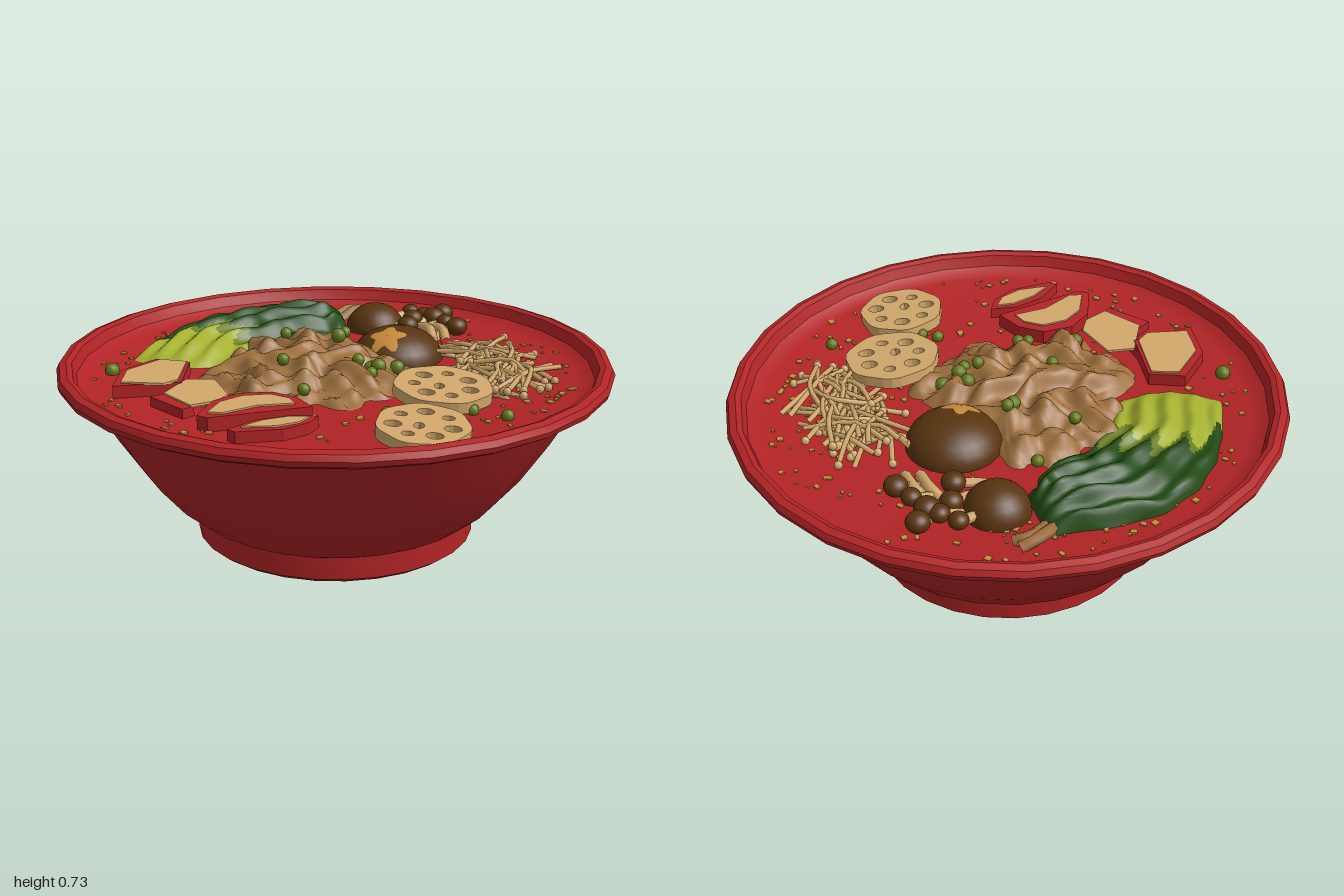
import * as THREE from 'three';
import { mergeGeometries, toCreasedNormals } from 'three/addons/utils/BufferGeometryUtils.js';

const SOUP = 0.6;
const mat = (name, color) => Object.assign(new THREE.MeshStandardMaterial({ color }), { name });

export function createModel() {
  const red = mat('lacquer red', 0xb22426), footBrown = mat('foot brown', 0x5a3026);
  const capBrown = mat('mushroom brown', 0x58340f), tan = mat('pale tan', 0xd2a86c);
  const meatBrown = mat('meat brown', 0xa0713f), orange = mat('oil orange', 0xc88a3c);
  const darkGreen = mat('leaf green', 0x224a14), lightGreen = mat('stem green', 0xa3b030);
  const olive = mat('olive green', 0x64791a);

  const model = new THREE.Group();
  model.name = 'noodleBowl';
  let seed = 7;
  const rand = (a = 0, b = 1) => {
    seed = (seed * 16807) % 2147483647;
    return a + (b - a) * (seed / 2147483647);
  };
  const add = (name, geo, material, parent = model) => {
    const m = new THREE.Mesh(geo, material);
    m.name = name;
    parent.add(m);
    return m;
  };
  const group = (name) => {
    const g = new THREE.Group();
    g.name = name;
    model.add(g);
    return g;
  };
  const lathe = (pts) => toCreasedNormals(
    new THREE.LatheGeometry(pts.map(([r, y]) => new THREE.Vector2(r, y)), 28), 0.5);

  // Surface from a rule, with one face group per material
  const sheet = (nu, nv, fn, pick = () => 0) => {
    const pos = [], buckets = [[], [], []];
    for (let i = 0; i <= nu; i++) for (let j = 0; j <= nv; j++) pos.push(...fn(i / nu, j / nv));
    for (let i = 0; i < nu; i++) for (let j = 0; j < nv; j++) {
      const a = i * (nv + 1) + j, b = a + nv + 1;
      buckets[pick((i + 0.5) / nu, (j + 0.5) / nv)].push(a, b, a + 1, b, b + 1, a + 1);
    }
    const geo = new THREE.BufferGeometry();
    geo.setAttribute('position', new THREE.Float32BufferAttribute(pos, 3));
    geo.setIndex(buckets.flat());
    let start = 0;
    buckets.forEach((b, k) => { geo.addGroup(start, b.length, k); start += b.length; });
    geo.computeVertexNormals();
    return geo;
  };

  // Flat slab cut from an outline given as [x, z]
  const slab = (pts, y, depth, holes = []) => {
    const shape = new THREE.Shape(pts.map(([x, z]) => new THREE.Vector2(x, -z)));
    for (const [x, z, rx, rz] of holes) {
      shape.holes.push(new THREE.Path().absellipse(x, -z, rx, rz, 0, Math.PI * 2));
    }
    const geo = new THREE.ExtrudeGeometry(shape, { depth, bevelEnabled: false, curveSegments: 6 });
    return geo.rotateX(-Math.PI / 2).translate(0, y, 0);
  };

  // Bowl, rim and broth surface
  add('bowl', lathe([[0.485, 0], [0.51, 0.018], [0.51, 0.1], [0.53, 0.11], [0.61, 0.175], [0.7, 0.28],
    [0.8, 0.43], [0.905, 0.61], [0.97, 0.61], [0.993, 0.623], [1, 0.643], [0.99, 0.664], [0.965, 0.672],
    [0.945, 0.664], [0.93, 0.625], [0.9, 0.607], [0.87, SOUP], [0, SOUP]]), red);
  add('footUnderside', lathe([[0, 0.03], [0.38, 0.03], [0.4, 0.012], [0.43, 0], [0.487, 0]]), footBrown);

  // Shredded meat: a crumpled heap that dips below the broth
  const MX = -0.08, MZ = 0.03;
  const meatEdge = (a) => 0.42 + 0.035 * Math.sin(3 * a + 0.6) + 0.03 * Math.sin(7 * a) + 0.02 * Math.sin(13 * a);
  const meatY = (x, z) => {
    const t = Math.hypot(x - MX, z - MZ) / meatEdge(Math.atan2(z - MZ, x - MX));
    if (t >= 1) return 0.57;
    const n = Math.sin(21 * x + 2.6 * Math.sin(13 * z)) * Math.sin(19 * z + 2.4 * Math.sin(15 * x + 1));
    const fine = Math.sin(47 * x + 3 * Math.sin(23 * z)) * Math.sin(43 * z + 2);
    const top = 0.625 + 0.055 * (1 - t * t) + 0.036 * n + 0.016 * fine;
    return Math.min(0.735, THREE.MathUtils.lerp(top, 0.57, Math.pow(t, 8)));
  };
  add('meat', sheet(110, 34, (u, v) => {
    const a = u * Math.PI * 2, r = v * meatEdge(a);
    const x = MX + r * Math.cos(a), z = MZ + r * Math.sin(a);
    return [x, meatY(x, z), z];
  }), meatBrown);

  // Leafy greens: ribbed sheet between two edge curves
  const curve = (pts) => new THREE.CatmullRomCurve3(pts.map(([x, z]) => new THREE.Vector3(x, 0, z)));
  const inner = curve([[-0.4, -0.01], [-0.34, -0.2], [-0.24, -0.33], [-0.1, -0.42], [-0.03, -0.56]]);
  const outer = curve([[-0.78, -0.03], [-0.72, -0.3], [-0.62, -0.53], [-0.4, -0.7], [-0.08, -0.76]]);
  add('leafyGreens', sheet(48, 44, (u, v) => {
    const ends = Math.min(1, u * 9, (1 - u) * 9);
    const wob = 0.035 * Math.sin(u * 40) * u * (v - 0.5);
    const p = inner.getPoint(u).lerp(outer.getPoint(u), v + wob);
    const dome = Math.pow(Math.sin(Math.PI * v), 0.5) * (0.06 + 0.04 * u) * Math.sqrt(ends);
    const ribs = (0.011 + 0.006 * u) * Math.sin(v * 27 + 3 * u + 0.9 * Math.sin(u * 17)) * ends;
    const puckers = 0.009 * u * Math.sin(u * 34 + v * 9) * ends;
    const bulge = 0.05 * Math.sin(Math.PI * v) * Math.max(0, 1 - u * 7);
    return [p.x, 0.59 + dome + ribs + puckers, p.z + bulge];
  }, (u, v) => {
    const edge = 0.2 + 0.15 * Math.sin(Math.PI * v) + 0.06 * Math.sin(v * 25);
    return u < edge ? 0 : u < edge + 0.17 * (1 - v) ? 1 : 2;
  }), [lightGreen, olive, darkGreen]);

  // Large mushrooms, one with a star cut into its cap
  const mushrooms = group('mushrooms');
  const cap = (name, x, z, r, h, y) => {
    const m = add(name, new THREE.SphereGeometry(r, 24, 14), capBrown, mushrooms);
    m.scale.y = h / r;
    m.position.set(x, y, z);
  };
  cap('largeCap', 0.2, -0.24, 0.17, 0.115, SOUP);
  cap('mediumCap', 0.07, -0.61, 0.115, 0.1, SOUP);
  const star = new THREE.RingGeometry(0.001, 0.075, 30, 5).rotateX(-Math.PI / 2);
  const sp = star.attributes.position;
  for (let i = 0; i < sp.count; i++) {
    const k = 0.8 + 0.2 * Math.cos(5 * Math.atan2(sp.getZ(i), sp.getX(i)) + 1);
    const dx = sp.getX(i) * k - 0.03, dz = sp.getZ(i) * k + 0.08;
    const q = Math.max(0, 1 - (dx * dx + dz * dz) / 0.0289);
    sp.setXYZ(i, 0.2 + dx, SOUP + 0.115 * Math.sqrt(q) + 0.004, -0.24 + dz);
  }
  star.computeVertexNormals();
  add('starCut', star, orange, mushrooms);

  // Cluster of small mushrooms with pale stems
  const tube = (pts, r, n = 6) => new THREE.TubeGeometry(
    new THREE.CatmullRomCurve3(pts.map((p) => new THREE.Vector3(...p))), n, r, 6);
  [[0.2, -0.71, 0.035], [0.33, -0.71, 0.042], [0.3, -0.64, 0.045], [0.22, -0.61, 0.04], [0.21, -0.51, 0.042],
    [0.4, -0.52, 0.042], [0.35, -0.58, 0.035], [0.26, -0.67, 0.036]].forEach(([x, z, r], i) => {
    cap('smallCap', x, z, r, r * 0.85, 0.645);
    const ex = x + (i % 2 ? -0.09 : -0.11), ez = z + (i < 4 ? 0.1 : 0.05);
    add('smallStem', tube([[x, 0.635, z], [(x + ex) / 2, 0.63, (z + ez) / 2 - 0.01], [ex, 0.595, ez]], 0.019), tan, mushrooms);
  });
  for (const x of [0.29, 0.34]) add('smallStem', tube([[x - 0.04, 0.62, -0.57], [x, 0.635, -0.52], [x + 0.03, 0.61, -0.42]], 0.02), tan, mushrooms);
  for (const d of [0, 0.035]) add('paleShoot', tube([[-0.12 + d, 0.6, -0.7], [-0.06 + d, 0.625, -0.78], [0.01 + d / 2, 0.605, -0.81 + d]], 0.022), meatBrown);

  // Tangle of thin mushrooms
  const strands = [];
  for (let i = 0; i < 58; i++) {
    const t = rand(), cx = 0.48 + 0.17 * t + rand(-0.09, 0.09), cz = -0.26 + 0.36 * t;
    const a = 1.15 + rand(-1.1, 1.1), h = rand(0.09, 0.18), y = rand(0.612, 0.66);
    const dx = Math.cos(a) * h, dz = Math.sin(a) * h, b = rand(-0.04, 0.04);
    const p0 = [Math.max(0.35, cx - dx), y - 0.01, cz - dz], p2 = [Math.min(0.79, cx + dx), y - 0.015, cz + dz];
    strands.push(tube([p0, [cx + b, y + 0.01, cz - b], p2], 0.0095, 7));
    strands.push(new THREE.SphereGeometry(0.016, 7, 5).translate(...(i % 2 ? p0 : p2)));
  }
  add('thinMushrooms', mergeGeometries(strands), tan);

  // Lotus root slices: a ring of holes round a centre pair
  const lotus = group('lotusSlices');
  [[0.41, 0.24, 0.17, 0.17, 0.645, 0.3], [0.375, 0.59, 0.155, 0.165, 0.625, 1.1]].forEach(([cx, cz, rx, rz, y, turn]) => {
    const outline = [], holes = [[-0.012, 0.02, 0.018, 0.024]];
    for (let i = 0; i < 32; i++) {
      const a = (i / 32) * Math.PI * 2, k = 1 + 0.025 * Math.sin(7 * a + turn);
      outline.push([rx * k * Math.cos(a), rz * k * Math.sin(a)]);
    }
    for (let i = 0; i < 7; i++) {
      const a = turn + (i / 7) * Math.PI * 2, s = i % 2 ? 0.022 : 0.03;
      holes.push([0.1 * Math.cos(a), 0.1 * Math.sin(a), s, s * 0.85]);
    }
    const m = add('lotusSlice', slab(outline, -0.025, 0.04, holes), tan, lotus);
    m.position.set(cx, y, cz);
    m.rotation.set(0.06, 0, -0.06);
  });

  // Sliced pieces with a red rind and pale face
  const slices = group('rindSlices');
  [[[[-0.65, 0.06], [-0.52, 0.08], [-0.495, 0.31], [-0.72, 0.39], [-0.74, 0.21]],
    [[-0.63, 0.08], [-0.53, 0.09], [-0.51, 0.3], [-0.55, 0.35], [-0.7, 0.355], [-0.715, 0.22]], 0.05],
  [[[-0.5, 0.25], [-0.52, 0.4], [-0.57, 0.45], [-0.43, 0.56], [-0.4, 0.52]],
    [[-0.49, 0.26], [-0.39, 0.25], [-0.31, 0.4], [-0.33, 0.47], [-0.41, 0.53], [-0.53, 0.42]], 0.04],
  [[[-0.36, 0.65], [-0.34, 0.5], [-0.27, 0.41], [-0.16, 0.38], [-0.07, 0.42], [0.0, 0.51], [-0.12, 0.57], [-0.32, 0.67]],
    [[-0.33, 0.63], [-0.31, 0.52], [-0.25, 0.45], [-0.16, 0.42], [-0.09, 0.45], [-0.06, 0.5], [-0.18, 0.54], [-0.28, 0.63]], 0.055],
  [[[-0.24, 0.74], [-0.17, 0.64], [-0.07, 0.58], [0.03, 0.57], [0.01, 0.64], [-0.06, 0.71], [-0.21, 0.76]],
    [[-0.2, 0.72], [-0.14, 0.65], [-0.06, 0.6], [0.005, 0.59], [-0.02, 0.65], [-0.09, 0.7]], 0.045],
  ].forEach(([rind, face, h]) => {
    add('sliceRind', slab(rind, 0.58, h + 0.015), red, slices);
    add('sliceFace', slab(face, 0.592 + h, 0.009), tan, slices);
  });

  // Chopped green onion
  const onions = [[-0.8, 0.12], [0.64, 0.4], [0.3, 0.45], [0.14, 0.07], [0.1, 0.12], [0.15, 0.15], [-0.01, -0.15],
    [-0.22, -0.22], [-0.06, 0.33], [-0.28, 0.37], [-0.17, 0.12], [-0.1, 0.37], [0.23, 0.05], [0.24, 0.43],
    [0.01, -0.17], [0.17, 0.1], [0.52, 0.36], [-0.08, -0.37]];
  add('greenOnions', mergeGeometries(onions.map(([x, z], i) =>
    new THREE.SphereGeometry(i % 3 ? 0.023 : 0.028, 9, 7).translate(x, Math.max(SOUP, meatY(x, z)) + 0.012, z))), olive);

  // Oil flecks floating on the broth
  const flecks = [];
  for (let i = 0; i < 210; i++) {
    const a = rand(0, Math.PI * 2), r = rand(i % 3 ? 0.66 : 0.35, 0.87), s = rand(0.008, 0.024);
    flecks.push(new THREE.BoxGeometry(s, 0.006, s * rand(0.6, 1.1)).rotateY(rand(0, 3))
      .translate(r * Math.cos(a), SOUP + 0.002, r * Math.sin(a)));
  }
  add('oilFlecks', mergeGeometries(flecks), orange);

  return model;
}
